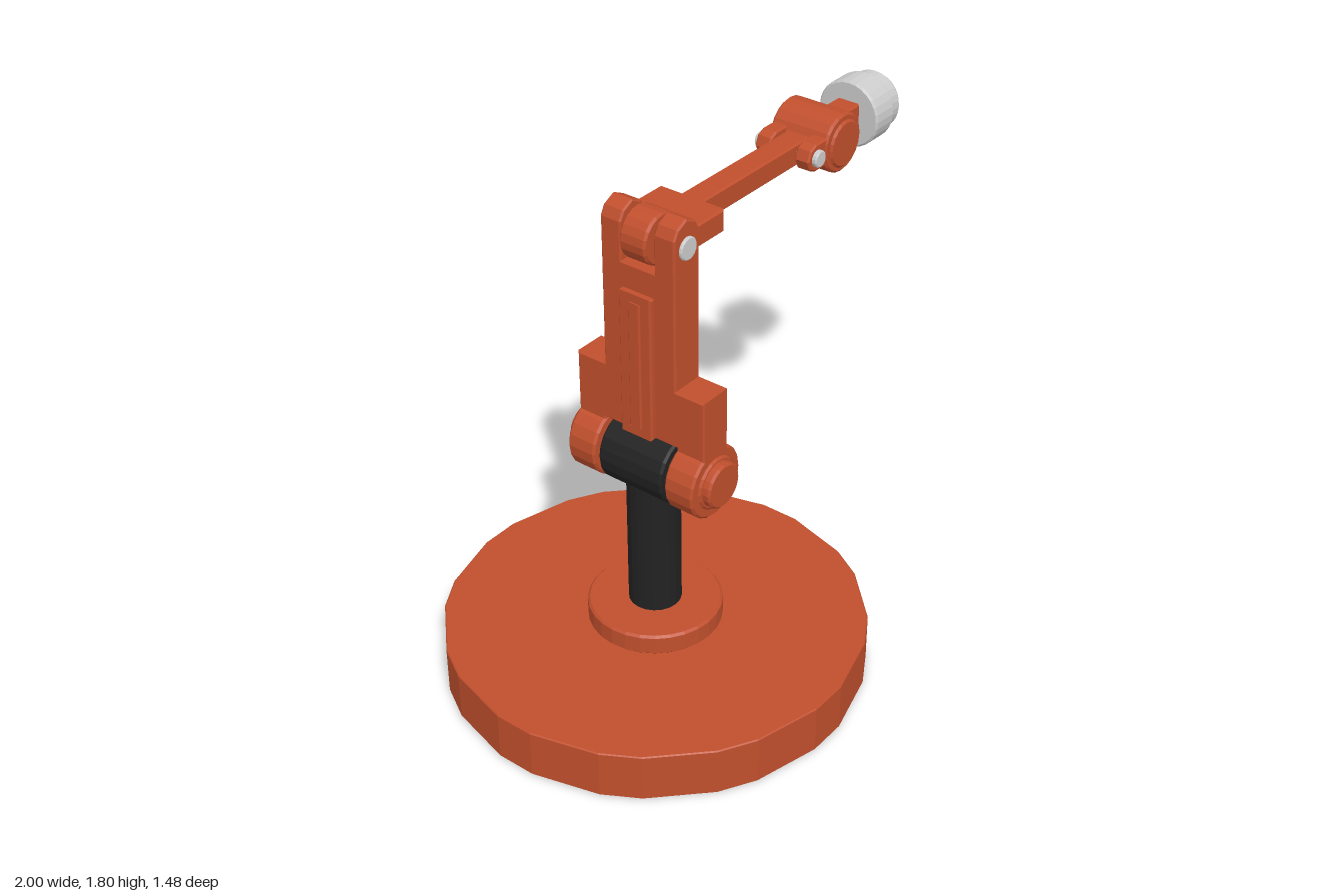
import * as THREE from 'three';

const mat = (color) => new THREE.MeshStandardMaterial({ color, flatShading: true });
const AX = -0.262; // x of the column and elbow axis
const ELBOW = 0.85, TOP = 1.68;

export function createModel() {
  const model = new THREE.Group();
  const paint = mat(0xc04f2d), dark = mat(0x222222), steel = mat(0xcccccc);

  const add = (name, geo, material, x = 0, y = 0, z = 0) => {
    const mesh = new THREE.Mesh(geo, material);
    mesh.name = name;
    mesh.position.set(x, y, z);
    model.add(mesh);
    return mesh;
  };

  // Extrusion spanning z0..z1 with a small bevel kept inside the outline
  const prism = (pts, z0, z1, b = 0.006) => {
    const shape = pts instanceof THREE.Shape ? pts : new THREE.Shape(pts.map(([x, y]) => new THREE.Vector2(x, y)));
    const geo = new THREE.ExtrudeGeometry(shape, {
      depth: z1 - z0 - 2 * b, bevelEnabled: b > 0, bevelSize: b, bevelOffset: -b,
      bevelThickness: b, bevelSegments: 1, curveSegments: 6,
    });
    return geo.translate(0, 0, z0 + b);
  };

  // Round part lying along z, with chamfered rims
  const drum = (r, z0, z1, sides = 20, c = 0.008) => {
    const h = z1 - z0;
    const profile = [[0, 0], [r - c, 0], [r, c], [r, h - c], [r - c, h], [0, h]];
    return new THREE.LatheGeometry(profile.map(([a, b]) => new THREE.Vector2(a, b)), sides)
      .rotateX(Math.PI / 2).translate(0, 0, z0);
  };

  const box = (name, x0, x1, y0, y1, z0, z1) =>
    add(name, prism([[x0, y0], [x1, y0], [x1, y1], [x0, y1]], z0, z1), paint);

  // Base: twelve sides with cut corners
  const ring = [];
  for (let k = 0; k < 12; k++) {
    for (const d of [-5.5, 5.5]) {
      const a = THREE.MathUtils.degToRad(k * 30 + d);
      ring.push([0.741 * Math.cos(a), 0.741 * Math.sin(a)]);
    }
  }
  add('base', prism(ring, 0, 0.182, 0.004).rotateX(-Math.PI / 2), paint, AX);
  add('baseCollar', drum(0.235, 0.18, 0.258, 28).rotateX(-Math.PI / 2), paint, AX);

  // Column and elbow hub
  add('column', new THREE.CylinderGeometry(0.092, 0.092, 0.6, 20), dark, AX, 0.55);
  add('elbowHub', drum(0.127, -0.132, 0.132), dark, AX, ELBOW);
  add('elbowAxle', drum(0.06, -0.27, 0.27), dark, AX, ELBOW);

  // Upper arm: forked outline across z, extruded along x
  const half = [[0.15, 0.97], [0.15, ELBOW], [0.262, ELBOW], [0.262, 1.185],
    [0.147, 1.185], [0.147, 1.69], [0.066, 1.69], [0.066, 1.59]];
  const outline = [...half, ...half.map(([z, y]) => [-z, y]).reverse()];
  add('upperArm', prism(outline, -0.063, 0.063).rotateY(Math.PI / 2), paint, AX);
  box('backPanel', -0.345, -0.32, 0.97, 1.5, -0.065, 0.065);
  box('backRib', -0.35, -0.34, 1.0, 1.47, -0.025, 0.025);

  // Mirrored joint parts
  const tine = [[-0.063, -0.09], [0.063, -0.09], [0.063, 0.045], [0.045, 0.078],
    [0, 0.1], [-0.045, 0.078], [-0.063, 0.045]];
  const wristEar = [[-0.055, 0], [-0.04, -0.036], [-0.01, -0.05], [0.11, -0.05],
    [0.11, 0.05], [-0.01, 0.05], [-0.04, 0.036]];
  for (const s of [-1, 1]) {
    const span = (a, b) => (s > 0 ? [a, b] : [-b, -a]);
    add('elbowKnuckle', drum(0.13, ...span(0.148, 0.262)), paint, AX, ELBOW);
    add('elbowCapRim', drum(0.096, ...span(0.255, 0.27)), paint, AX, ELBOW);
    add('elbowCap', drum(0.082, ...span(0.26, 0.298)), paint, AX, ELBOW);
    add('upperTine', prism(tine, ...span(0.066, 0.147)), paint, AX, TOP);
    add('wristEar', prism(wristEar, ...span(0.052, 0.11)), paint, 0.485, TOP);
    add('wristCap', drum(0.085, ...span(0.11, 0.126)), paint, 0.625, TOP);
  }
  add('upperPin', drum(0.04, -0.157, 0.157, 16, 0.004), steel, AX, TOP);

  // Forearm: tongue, shoulder block and slim bar
  add('forearmTongue', drum(0.09, -0.052, 0.052), paint, AX, TOP);
  box('forearmNeck', AX, -0.17, 1.64, 1.72, -0.052, 0.052);
  box('forearmBlock', -0.19, -0.05, 1.64, 1.72, -0.13, 0.13);
  box('forearmBar', -0.07, 0.525, 1.64, 1.72, -0.045, 0.045);

  // Wrist
  add('wristPin', drum(0.03, -0.127, 0.127, 14, 0.004), steel, 0.48, TOP);
  add('wristDrum', drum(0.106, -0.114, 0.114), paint, 0.625, TOP);
  box('wristStem', 0.66, 0.84, 1.63, 1.73, -0.045, 0.045);

  // Grooved tool head with a recessed end
  const head = [[0, 0], [0.115, 0], [0.122, 0.007], [0.122, 0.096], [0.115, 0.104], [0.096, 0.104],
    [0.096, 0.112], [0.106, 0.118], [0.106, 0.158], [0.092, 0.178], [0.07, 0.18], [0.062, 0.172],
    [0.062, 0.14], [0, 0.14]];
  add('toolHead', new THREE.LatheGeometry(head.map(([r, y]) => new THREE.Vector2(r, y)), 28)
    .rotateZ(-Math.PI / 2), steel, 0.82, TOP);

  return model;
}
